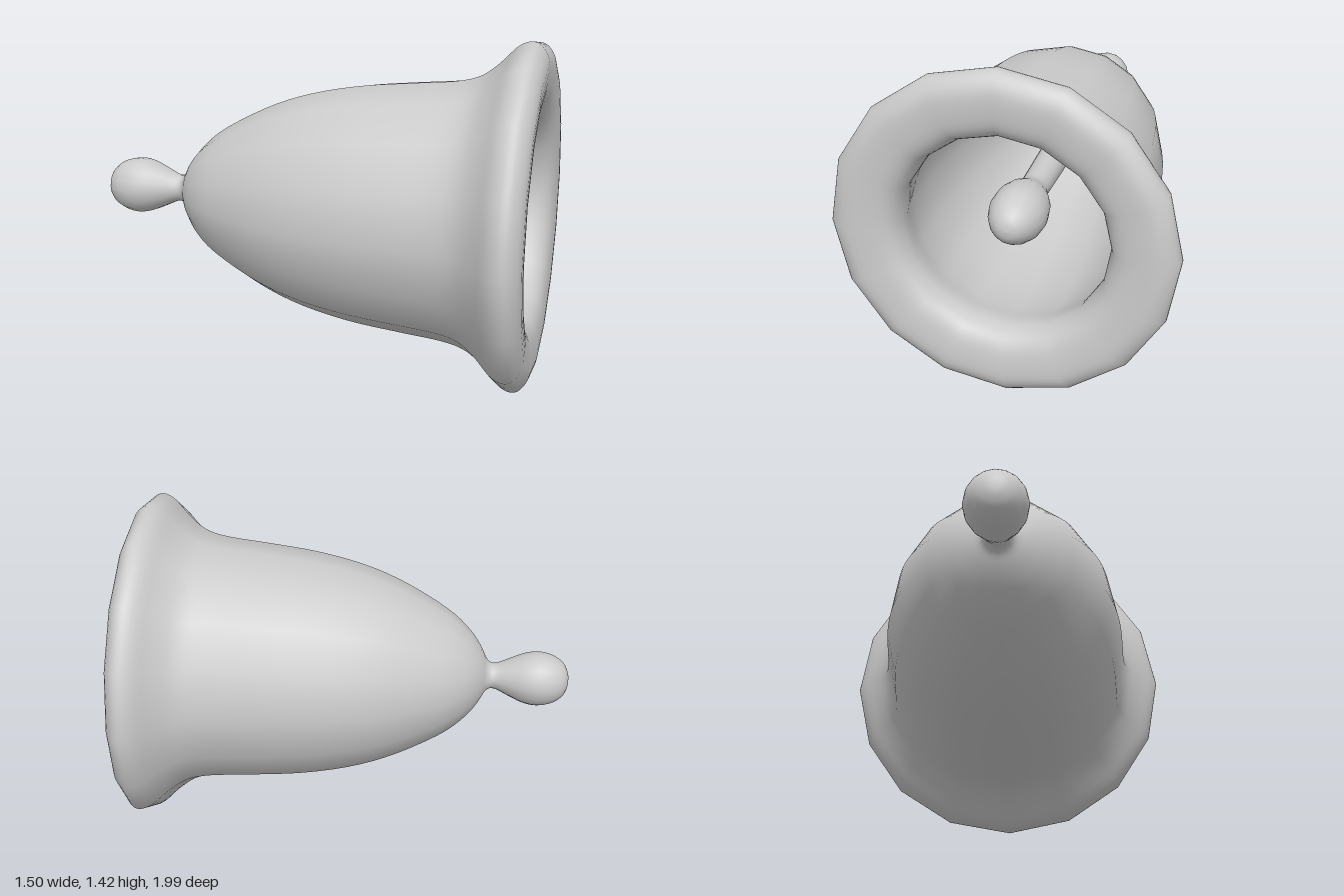
import * as THREE from 'three';

const SIDES = 16;

// Smooth surface of revolution from [radius, distance along the axis] points
function turned(name, points, steps) {
  const spline = new THREE.SplineCurve(points.map(([r, s]) => new THREE.Vector2(r, s)));
  const profile = spline.getPoints(steps).map((p) => new THREE.Vector2(Math.max(p.x, 0), p.y));
  const mesh = new THREE.Mesh(
    new THREE.LatheGeometry(profile, SIDES),
    new THREE.MeshStandardMaterial({ color: 0xcccccc, side: THREE.DoubleSide })
  );
  mesh.name = name;
  return mesh;
}

export function createModel() {
  const model = new THREE.Group();
  model.name = 'bell';

  // The bell is turned along its own axis, from the mouth (0) to the handle
  const body = new THREE.Group();
  body.name = 'bellBody';

  // Inner wall, thick rolled lip, flare and outer dome in one profile
  body.add(turned('shell', [
    [0, 1.38], [0.12, 1.35], [0.24, 1.24], [0.34, 1.04], [0.43, 0.7], [0.46, 0.4],
    [0.45, 0.2], [0.428, 0.08], [0.432, 0.02], [0.46, -0.03], [0.52, -0.06],
    [0.63, -0.068], [0.69, -0.04], [0.711, 0], [0.69, 0.055], [0.62, 0.125],
    [0.565, 0.2], [0.538, 0.3], [0.52, 0.48], [0.495, 0.7], [0.45, 0.91],
    [0.384, 1.09], [0.282, 1.28], [0.2, 1.38], [0.13, 1.435], [0.075, 1.465], [0.058, 1.485]
  ], 90));

  // Egg-shaped handle growing out of a narrow neck
  body.add(turned('handle', [
    [0.075, 1.46], [0.058, 1.485], [0.06, 1.515], [0.085, 1.57], [0.11, 1.63], [0.119, 1.69],
    [0.106, 1.75], [0.075, 1.795], [0.035, 1.816], [0, 1.82]
  ], 32));

  // Clapper: oval ball on a rod reaching up to the dome
  body.add(turned('clapper', [
    [0, 0.043], [0.045, 0.055], [0.088, 0.1], [0.115, 0.165], [0.12, 0.23], [0.108, 0.3],
    [0.082, 0.36], [0.064, 0.41], [0.063, 0.5], [0.069, 0.8], [0.071, 1.1], [0.071, 1.39]
  ], 40));

  // Lay the bell on its side, mouth forward and swung towards its left
  body.rotation.set(-Math.PI / 2, 0.447, 0, 'YXZ');
  body.position.set(0.1, 0.712, 0.65);
  model.add(body);
  return model;
}
